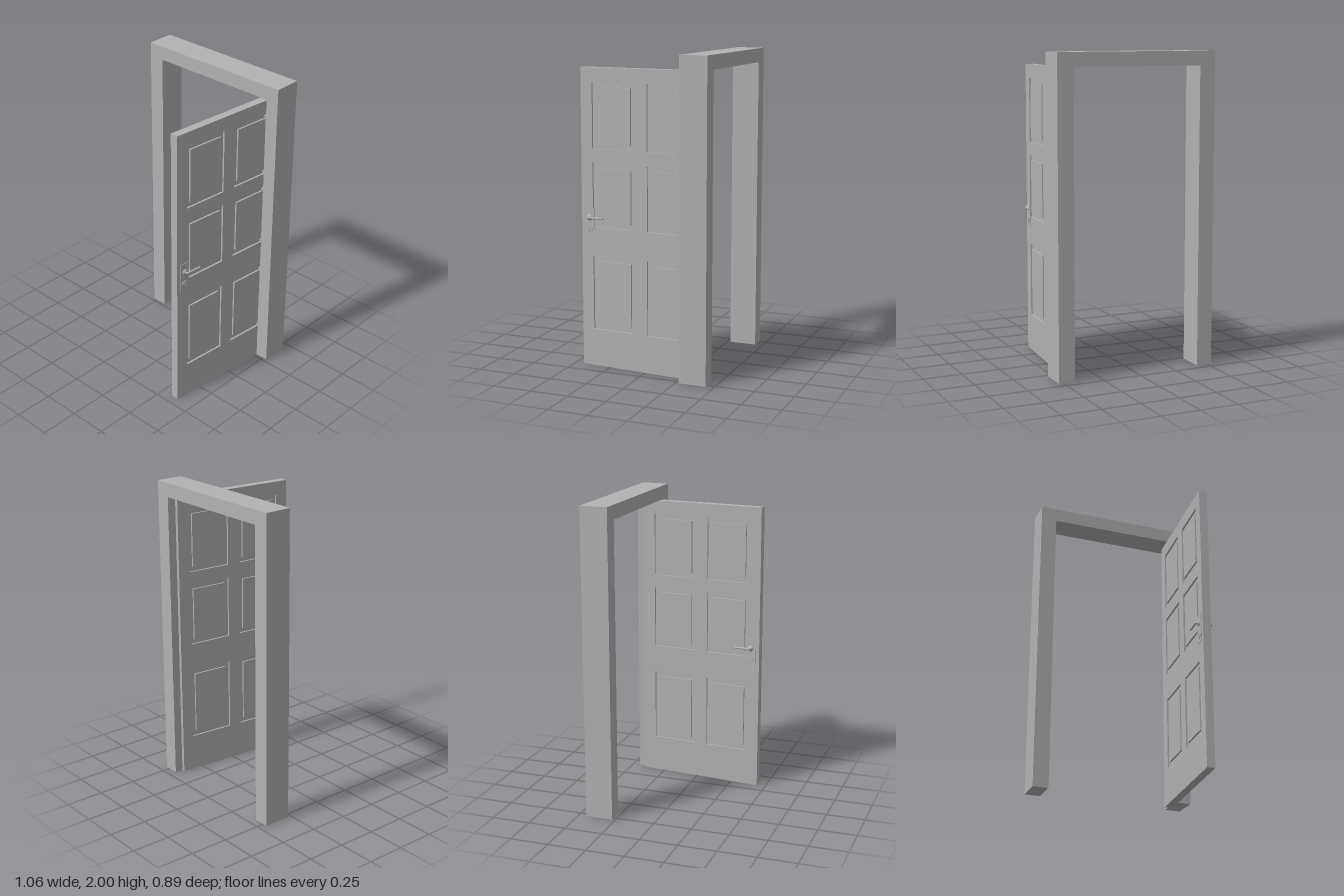
import * as THREE from 'three';

const DOOR = { width: 0.84, height: 1.905, thick: 0.053, groove: 0.012 };

function add(parent, name, geometry, material, x = 0, y = 0, z = 0) {
  const mesh = new THREE.Mesh(geometry, material);
  mesh.name = name;
  mesh.position.set(x, y, z);
  parent.add(mesh);
  return mesh;
}

function rectangle(Type, x0, y0, x1, y1) {
  return new Type([[x0, y0], [x1, y0], [x1, y1], [x0, y1]].map(p => new THREE.Vector2(...p)));
}

// Portal: two jambs and a lintel in one extruded outline
function createFrame(material) {
  const outline = [[-0.53, 0], [-0.427, 0], [-0.427, 1.91], [0.427, 1.91],
    [0.427, 0], [0.53, 0], [0.53, 2], [-0.53, 2]];
  const shape = new THREE.Shape(outline.map(p => new THREE.Vector2(...p)));
  const geometry = new THREE.ExtrudeGeometry(shape, { depth: 0.178, bevelEnabled: false });
  const frame = new THREE.Group();
  frame.name = 'doorFrame';
  add(frame, 'jambsAndLintel', geometry, material, 0, 0, -0.449);
  return frame;
}

// Leaf: x runs from the free edge to the hinge, z through the thickness
function createLeaf(material) {
  const leaf = new THREE.Group();
  leaf.name = 'doorLeaf';
  const shape = rectangle(THREE.Shape, 0, 0, DOOR.width, DOOR.height);
  const rows = [[0.242, 0.718], [0.904, 1.312], [1.402, 1.815]];
  const columns = [[0.08, 0.375], [0.465, 0.76]];
  for (const [y0, y1] of rows) {
    for (const [x0, x1] of columns) {
      shape.holes.push(rectangle(THREE.Path, x0, y0, x1, y1));
      const w = x1 - x0, h = y1 - y0, cx = (x0 + x1) / 2, cy = (y0 + y1) / 2;
      // Recessed groove floor with a raised field on both faces
      add(leaf, 'panelGroove', new THREE.BoxGeometry(w, h, DOOR.thick - 2 * DOOR.groove), material, cx, cy);
      add(leaf, 'panelField', new THREE.BoxGeometry(w - 0.05, h - 0.06, DOOR.thick - 0.002), material, cx, cy);
    }
  }
  const geometry = new THREE.ExtrudeGeometry(shape, { depth: DOOR.thick, bevelEnabled: false });
  add(leaf, 'stilesAndRails', geometry, material, 0, 0, -DOOR.thick / 2);
  return leaf;
}

// Handle set on one face, built outwards along +z
function createHandle(material) {
  const handle = new THREE.Group();
  handle.name = 'handleSet';
  add(handle, 'backPlate', new THREE.BoxGeometry(0.064, 0.19, 0.004), material, 0, 0.93, 0.002);

  // Collar around the lever
  const collarProfile = [[0, 0], [0.02, 0], [0.02, 0.005], [0.012, 0.009], [0.009, 0.014], [0, 0.014]];
  const collar = new THREE.LatheGeometry(collarProfile.map(p => new THREE.Vector2(...p)), 20);
  add(handle, 'leverCollar', collar.rotateX(Math.PI / 2), material, 0, 0.965, 0.003);

  // Bent lever pointing towards the hinge
  const path = new THREE.CurvePath();
  const v = (x, z) => new THREE.Vector3(x, 0, z);
  path.add(new THREE.LineCurve3(v(0, 0), v(0, 0.016)));
  path.add(new THREE.QuadraticBezierCurve3(v(0, 0.016), v(0, 0.026), v(0.012, 0.026)));
  path.add(new THREE.LineCurve3(v(0.012, 0.026), v(0.105, 0.026)));
  add(handle, 'lever', new THREE.TubeGeometry(path, 32, 0.0068, 12), material, 0, 0.965);
  const cap = new THREE.CircleGeometry(0.0068, 12).rotateY(Math.PI / 2);
  add(handle, 'leverEnd', cap, material, 0.105, 0.965, 0.026);

  // Lock cylinder with a key slot
  const ring = new THREE.Shape().absarc(0, 0, 0.021, 0, Math.PI * 2);
  ring.holes.push(rectangle(THREE.Path, -0.003, -0.011, 0.003, 0.011));
  const lock = new THREE.ExtrudeGeometry(ring, { depth: 0.006, bevelEnabled: false, curveSegments: 12 });
  add(handle, 'lockCylinder', lock, material, 0, 0.88, 0.003);
  return handle;
}

export function createModel() {
  const paint = new THREE.MeshStandardMaterial({ color: 0xb2b2b2 });
  paint.name = 'greyPaint';

  const model = new THREE.Group();
  model.name = 'openDoor';
  model.add(createFrame(paint));

  const door = new THREE.Group();
  door.name = 'door';
  door.add(createLeaf(paint));
  const outer = createHandle(paint);
  outer.position.set(0.058, 0, DOOR.thick / 2);
  door.add(outer);
  // Inner handle: half turn about the lever axis keeps it pointing to the hinge
  const inner = createHandle(paint);
  inner.name = 'innerHandleSet';
  inner.position.set(0.058, 0, -DOOR.thick / 2);
  mirrorDepth(inner);
  door.add(inner);

  // Swung open by 85 degrees
  door.position.set(0.355, 0, 0.443);
  door.rotation.y = THREE.MathUtils.degToRad(85);
  model.add(door);
  return model;
}

// Mirror geometry in z and restore the winding
function mirrorDepth(group) {
  for (const mesh of group.children) {
    const g = mesh.geometry.index ? mesh.geometry.toNonIndexed() : mesh.geometry;
    g.scale(1, 1, -1);
    for (const key of ['position', 'normal', 'uv']) {
      const a = g.attributes[key], n = a.itemSize;
      for (let i = 0; i < a.count; i += 3) {
        for (let k = 0; k < n; k++) {
          const b = (i + 1) * n + k, c = (i + 2) * n + k;
          [a.array[b], a.array[c]] = [a.array[c], a.array[b]];
        }
      }
    }
    mesh.geometry = g;
    mesh.position.z *= -1;
  }
}
